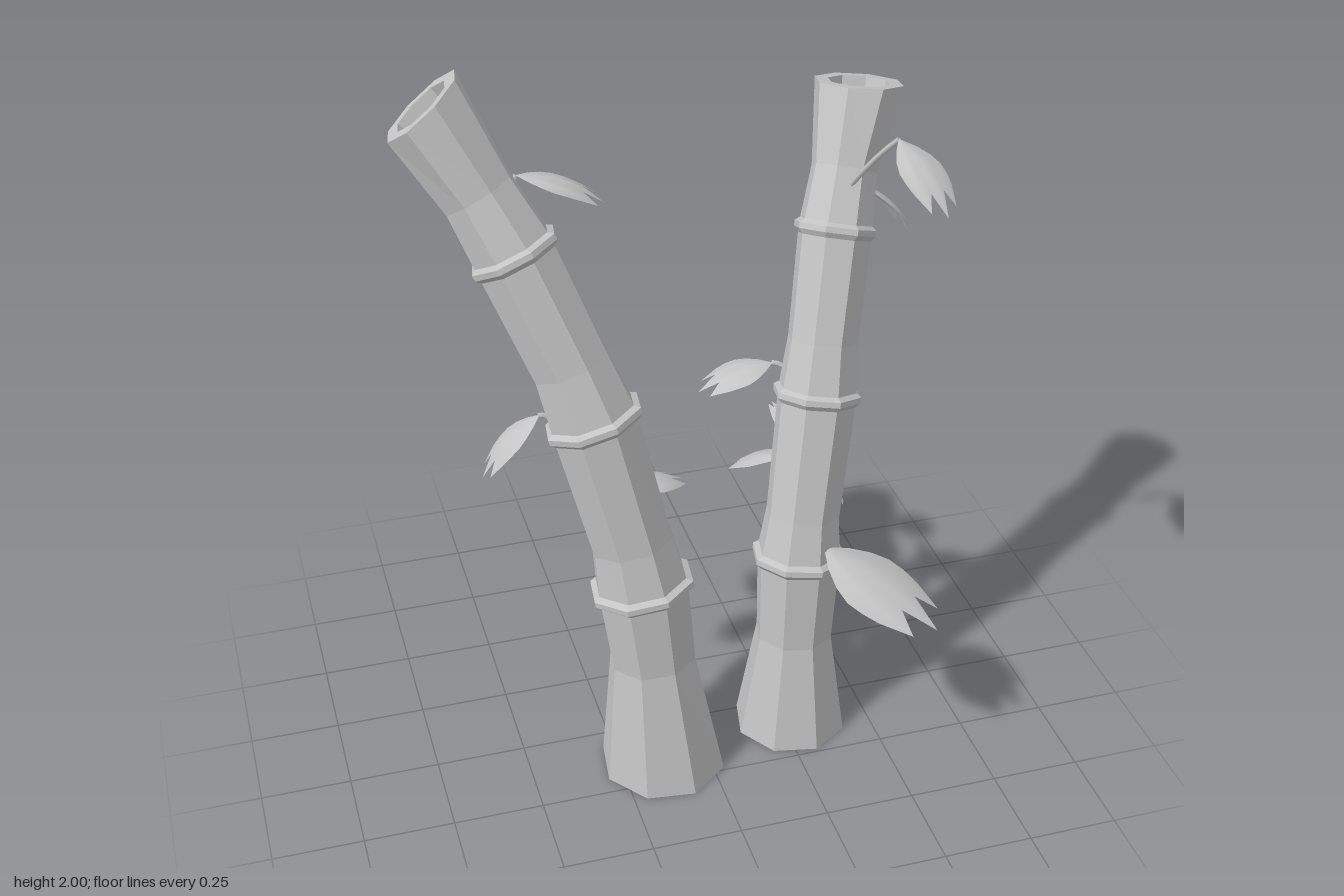
import * as THREE from 'three';

const V = (a) => new THREE.Vector3(...a);
const UP = new THREE.Vector3(0, 1, 0);
const SIDES = 8;
const grey = new THREE.MeshStandardMaterial({ color: 0xc4c4c4, side: THREE.DoubleSide });
grey.name = 'bamboo grey';

// Faceted loft through rows of { c: centre, n: normal, r: radius }
function loft(rows, phase) {
  const pts = rows.map(({ c, n, r }) => {
    const q = new THREE.Quaternion().setFromUnitVectors(UP, n);
    return Array.from({ length: SIDES }, (_, k) => {
      const a = phase + (k / SIDES) * Math.PI * 2;
      return new THREE.Vector3(Math.cos(a) * r, 0, Math.sin(a) * r).applyQuaternion(q).add(c);
    });
  });
  const tris = [];
  for (let i = 0; i + 1 < rows.length; i++) {
    for (let k = 0; k < SIDES; k++) {
      const m = (k + 1) % SIDES;
      if (rows[i + 1].r > 0) tris.push(pts[i][k], pts[i + 1][k], pts[i + 1][m]);
      if (rows[i].r > 0) tris.push(pts[i][k], pts[i + 1][m], pts[i][m]);
    }
  }
  const g = new THREE.BufferGeometry().setFromPoints(tris);
  g.computeVertexNormals();
  return g;
}

// Bent hollow-topped stalk; nodes are [x, y, z, radius], waists are [position, radius] per segment
function makeStalk(name, nodes, waists, topNormal, phase) {
  const group = new THREE.Group();
  group.name = name;
  const curve = new THREE.CatmullRomCurve3(nodes.map((p) => V(p.slice(0, 3))));
  const last = nodes.length - 1;
  const at = (f) => {
    const t = f / last;
    let n = curve.getTangent(t);
    if (f === 0) n = UP.clone();
    if (f === last) n = V(topNormal).normalize();
    return { c: curve.getPoint(t), n };
  };
  const shift = (f, d, r) => {
    const { c, n } = at(f);
    return { c: c.addScaledVector(n, d), n, r };
  };

  // stem wall, bottom cap and recessed top
  const rows = [shift(0, 0, 0)];
  for (let i = 0; i < last; i++) {
    const r = nodes[i][3];
    rows.push(shift(i, 0, i ? r * 0.92 : r));
    rows.push({ ...at(i + waists[i][0]), r: waists[i][1] });
  }
  const R = nodes[last][3];
  rows.push(shift(last, 0, R), shift(last, 0, R * 0.7), shift(last, -0.05, R * 0.66), shift(last, -0.05, 0));
  const wall = new THREE.Mesh(loft(rows, phase), grey);
  wall.name = 'stalkWall';
  group.add(wall);

  // raised rings at the joints
  for (let i = 1; i < last; i++) {
    const r = nodes[i][3];
    const ring = new THREE.Mesh(loft([
      shift(i, -0.022, r * 0.92), shift(i, -0.008, r * 1.03),
      shift(i, 0.008, r * 1.03), shift(i, 0.02, r * 0.88),
    ], phase), grey);
    ring.name = 'jointRing';
    group.add(ring);
  }
  return group;
}

// Three-pointed leaf arching from base to tip
function leafGeometry(base, tip, width, arch) {
  const dir = tip.clone().sub(base);
  const side = dir.clone().cross(UP).normalize();
  const out = side.clone().cross(dir).normalize();
  const reach = [0.66, 0.9, 0.72, 1, 0.72, 0.9, 0.66];
  const spread = [0.04, 0.5, 0.82, 1, 1, 0.92];
  const pos = [], index = [];
  spread.forEach((w, i) => reach.forEach((len, j) => {
    const s = (i / 5) * len, u = j / 3 - 1;
    const p = base.clone().addScaledVector(dir, s)
      .addScaledVector(side, u * w * width / 2)
      .addScaledVector(out, arch * 4 * s * (1 - s) - u * u * w * width * 0.12);
    pos.push(p.x, p.y, p.z);
    if (i < 5 && j < 6) {
      const a = i * 7 + j, b = a + 7;
      index.push(a, a + 1, b, a + 1, b + 1, b);
    }
  }));
  const g = new THREE.BufferGeometry();
  g.setAttribute('position', new THREE.Float32BufferAttribute(pos, 3));
  g.setIndex(index);
  g.computeVertexNormals();
  return g;
}

// Leaf with a thin curved twig from the stalk
function makeSprig(root, base, tip, width, arch = 0.025) {
  const group = new THREE.Group();
  group.name = 'leafSprig';
  const [a, b, c] = [root, base, tip].map(V);
  const mid = a.clone().lerp(b, 0.55).addScaledVector(UP, 0.02);
  const twig = new THREE.Mesh(
    new THREE.TubeGeometry(new THREE.QuadraticBezierCurve3(a, mid, b), 5, 0.008, 5), grey);
  twig.name = 'twig';
  const leaf = new THREE.Mesh(leafGeometry(b, c, width, arch), grey);
  leaf.name = 'leaf';
  group.add(twig, leaf);
  return group;
}

export function createModel() {
  const model = new THREE.Group();
  model.name = 'bambooStalks';

  model.add(makeStalk('rightStalk', [
    [-0.125, 0, 0.15, 0.178], [-0.17, 0.6, 0.11, 0.143], [-0.275, 1.105, 0.04, 0.134],
    [-0.44, 1.555, -0.08, 0.122], [-0.628, 1.92, -0.215, 0.124],
  ], [[0.6, 0.122], [0.27, 0.116], [0.33, 0.108], [0.4, 0.1]], [-0.63, 0.75, -0.2], 0.52));

  model.add(makeStalk('leftStalk', [
    [0.28, 0, 0.08, 0.162], [0.3, 0.565, 0.055, 0.13], [0.37, 1.03, -0.035, 0.12],
    [0.45, 1.46, -0.16, 0.11], [0.56, 1.805, -0.318, 0.122],
  ], [[0.55, 0.11], [0.27, 0.104], [0.33, 0.097], [0.4, 0.09]], [0.12, 0.97, -0.19], 0.6));

  // sprigs: twig root, leaf base, leaf tip, leaf width
  const sprigs = [
    // right stalk
    [[-0.46, 1.62, -0.15], [-0.41, 1.73, -0.16], [-0.19, 1.64, -0.12], 0.12],
    [[-0.48, 1.6, -0.18], [-0.49, 1.69, -0.29], [-0.51, 1.57, -0.43], 0.09],
    [[-0.37, 1.08, 0], [-0.41, 1.11, -0.01], [-0.57, 0.95, 0], 0.11],
    [[-0.16, 0.62, 0.0], [-0.16, 0.77, -0.09], [0.03, 0.71, -0.2], 0.13],
    [[-0.18, 0.62, 0.0], [-0.22, 0.82, -0.17], [-0.25, 0.86, -0.36], 0.12],
    [[-0.18, 0.62, 0.0], [-0.19, 0.78, -0.18], [-0.2, 0.81, -0.33], 0.05],
    // left stalk
    [[0.33, 0.58, 0.11], [0.35, 0.63, 0.13], [0.585, 0.49, 0.4], 0.24],
    [[0.35, 0.57, -0.03], [0.34, 0.73, -0.19], [0.24, 0.61, -0.37], 0.14],
    [[0.35, 0.57, -0.03], [0.355, 0.77, -0.22], [0.355, 0.81, -0.37], 0.05],
    [[0.4, 0.58, -0.02], [0.42, 0.66, -0.08], [0.48, 0.58, -0.12], 0.06],
    [[0.33, 1.05, -0.1], [0.27, 1.09, -0.13], [0.06, 1.03, -0.13], 0.14],
    [[0.51, 1.5, -0.22], [0.56, 1.53, -0.25], [0.71, 1.36, -0.28], 0.12],
    [[0.47, 1.58, -0.14], [0.57, 1.755, -0.04], [0.63, 1.62, 0.17], 0.13],
  ];
  for (const s of sprigs) model.add(makeSprig(...s));
  return model;
}
